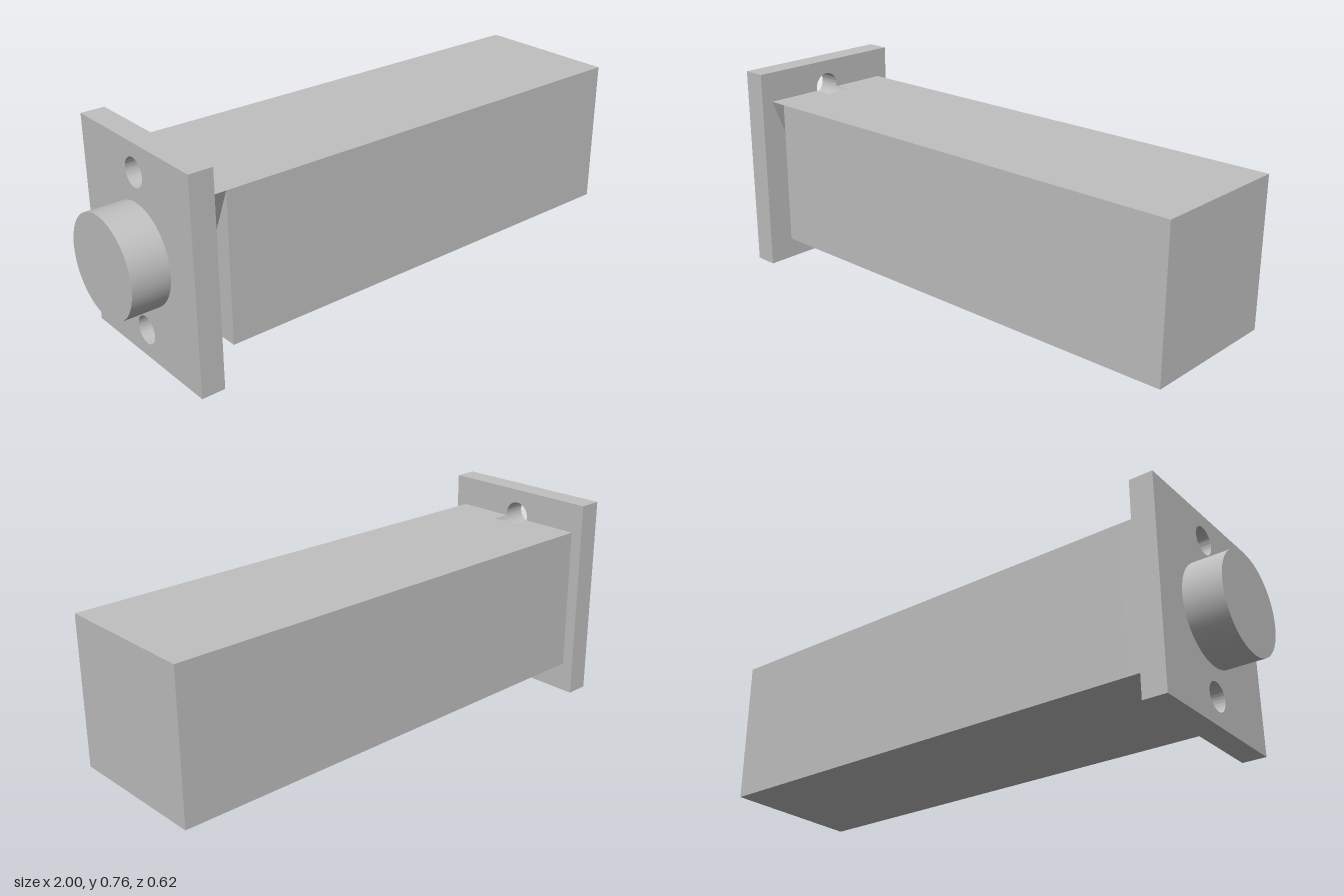
import * as THREE from 'three';
import { toCreasedNormals } from 'three/addons/utils/BufferGeometryUtils.js';

const MID = 0.378;          // height of the main axis
const BODY = 0.267;         // half side of the square body
const HOLE_R = 0.05;
const HOLE_Y = 0.278;       // bolt hole offset from the axis
const X = { tip: -1, flange: -0.865, body: -0.78, notch: -0.711, end: 1 };

// Extrude a (z, y) profile along x between two stations
function extrudeX(shape, x0, x1) {
  const geo = new THREE.ExtrudeGeometry(shape, { depth: x1 - x0, bevelEnabled: false, curveSegments: 32 });
  geo.rotateY(Math.PI / 2);
  geo.translate(x0, MID, 0);
  return toCreasedNormals(geo, 0.6);
}

function rectangle(w, h) {
  return new THREE.Shape([[-w, -h], [w, -h], [w, h], [-w, h]].map(p => new THREE.Vector2(...p)));
}

export function createModel() {
  const group = new THREE.Group();
  const grey = new THREE.MeshStandardMaterial({ color: 0xc0c0c0 });
  grey.name = 'light grey';

  function add(name, geo) {
    const mesh = new THREE.Mesh(geo, grey);
    mesh.name = name;
    group.add(mesh);
  }

  // Flange plate with two bolt holes
  const plate = rectangle(0.311, MID);
  for (const side of [-1, 1]) {
    plate.holes.push(new THREE.Path().absarc(0, side * HOLE_Y, HOLE_R, 0, Math.PI * 2, true));
  }
  add('flange', extrudeX(plate, X.flange, X.body));

  // Short body section where the bolt holes cut round notches
  const a = Math.asin((HOLE_Y - BODY) / HOLE_R);
  const notched = new THREE.Shape();
  notched.moveTo(-BODY, -BODY);
  notched.absarc(0, -HOLE_Y, HOLE_R, Math.PI - a, a, true);
  notched.lineTo(BODY, -BODY);
  notched.lineTo(BODY, BODY);
  notched.absarc(0, HOLE_Y, HOLE_R, -a, Math.PI + a, true);
  notched.lineTo(-BODY, BODY);
  add('notchedBody', extrudeX(notched, X.body, X.notch));

  // Long square body
  add('body', extrudeX(rectangle(BODY, BODY), X.notch, X.end));

  // Round boss on the outer face of the flange
  const boss = new THREE.CylinderGeometry(0.177, 0.177, X.flange - X.tip, 64);
  boss.rotateZ(Math.PI / 2);
  boss.translate((X.tip + X.flange) / 2, MID, 0);
  add('boss', boss);

  return group;
}
